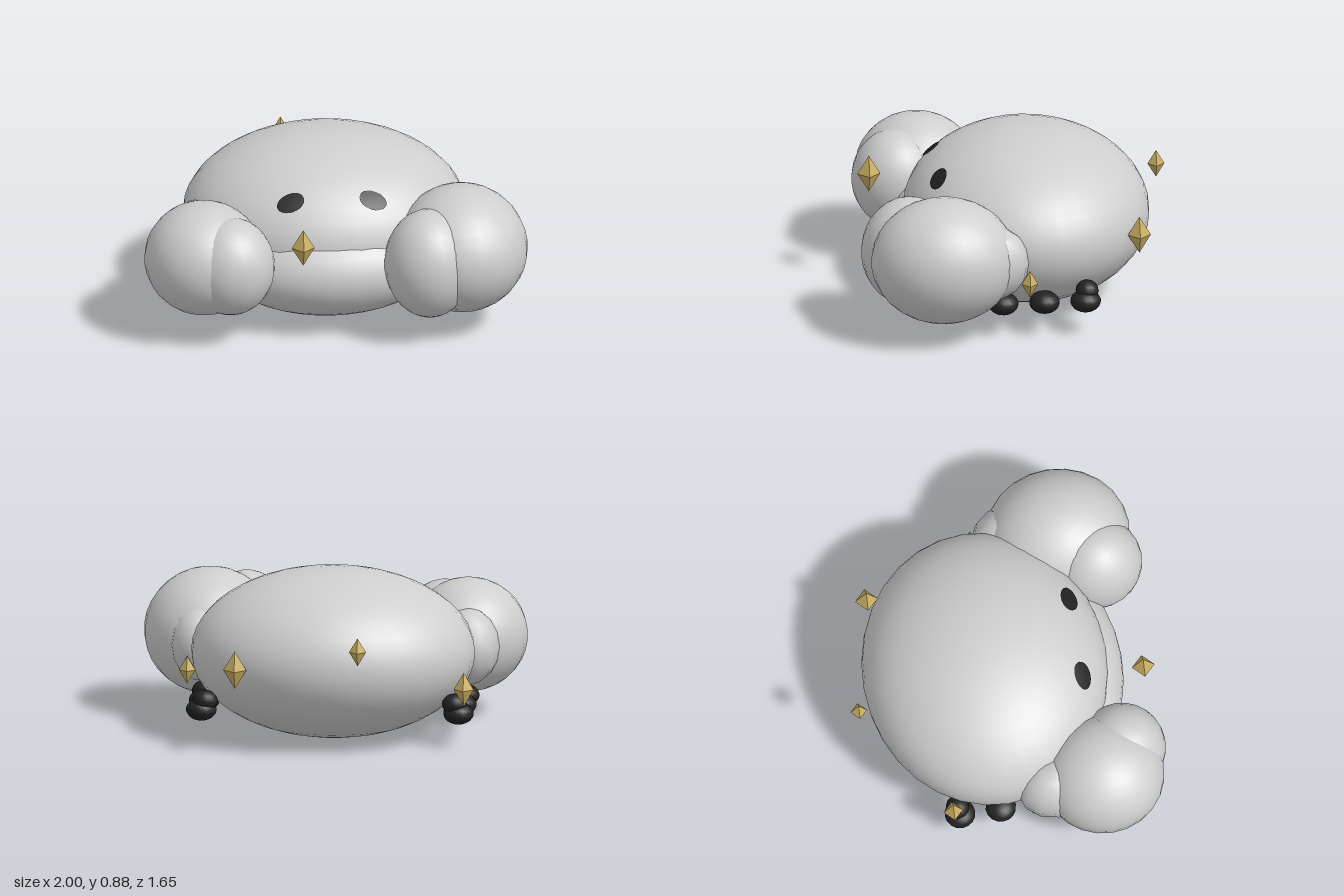
import * as THREE from 'three';

const material = (name, color) => Object.assign(new THREE.MeshStandardMaterial({ color }), { name });

export function createModel() {
  const model = new THREE.Group();
  model.name = 'roundCreature';
  const grey = material('pale grey', 0xcecece);
  const black = material('black', 0x222222);
  const gold = material('gold', 0xc9af62);
  const goldFaceted = gold;
  goldFaceted.flatShading = true;

  const add = (parent, name, geometry, mat) => {
    const mesh = new THREE.Mesh(geometry, mat);
    mesh.name = name;
    parent.add(mesh);
    return mesh;
  };

  const ellipsoid = (parent, name, mat, [x, y, z], [rx, ry, rz], segments = 24) => {
    const geometry = new THREE.SphereGeometry(1, segments, Math.round(segments * 0.7));
    geometry.scale(rx, ry, rz);
    add(parent, name, geometry, mat).position.set(x, y, z);
  };

  // Body and the belly that bulges from its lower front
  const centre = [-0.02, 0.44, -0.09];
  const radii = [0.74, 0.44, 0.64];
  ellipsoid(model, 'body', grey, centre, radii, 32);
  ellipsoid(model, 'belly', grey, [-0.02, 0.32, 0.2], [0.6, 0.29, 0.43], 28);

  // Arms: shoulder, large fist and inner knuckle, the left being larger
  const arms = [
    ['leftArm', [0.69, 0.42, 0.16], [0.655, 0.43, 0.405], [0.345, 0.33, 0.38],
      [0.475, 0.42, 0.57], [0.235, 0.29, 0.25]],
    ['rightArm', [-0.71, 0.42, 0.16], [-0.69, 0.425, 0.42], [0.31, 0.297, 0.32],
      [-0.56, 0.425, 0.54], [0.23, 0.26, 0.23]],
  ];
  for (const [name, shoulder, fist, fistSize, knuckle, knuckleSize] of arms) {
    const arm = new THREE.Group();
    arm.name = name;
    ellipsoid(arm, 'shoulder', grey, shoulder, [0.16, 0.2, 0.2], 12);
    ellipsoid(arm, 'fist', grey, fist, fistSize);
    ellipsoid(arm, 'knuckle', grey, knuckle, knuckleSize);
    model.add(arm);
  }

  for (const side of [1, -1]) {
    const prefix = side > 0 ? 'left' : 'right';

    // Three toes in a row, with a heel above the rear one
    const foot = new THREE.Group();
    foot.name = prefix + 'Foot';
    const footX = -0.02 + side * 0.67;
    for (const z of [0.095, -0.12, -0.335]) {
      ellipsoid(foot, 'toe', black, [footX, 0.175, z], [0.08, 0.058, 0.08], 16);
    }
    ellipsoid(foot, 'heel', black, [footX - side * 0.02, 0.225, -0.345], [0.065, 0.055, 0.06], 14);
    model.add(foot);

    // Slanted oval eye wrapped onto the body surface
    const eye = new THREE.RingGeometry(0, 1, 24, 4);
    eye.scale(0.074, 0.034, 1);
    eye.rotateZ(-side * 0.33);
    eye.translate(-0.02 + side * 0.215, 0.705, 0);
    const p = eye.attributes.position;
    for (let i = 0; i < p.count; i++) {
      const u = (p.getX(i) - centre[0]) / radii[0];
      const v = (p.getY(i) - centre[1]) / radii[1];
      p.setZ(i, centre[2] + radii[2] * Math.sqrt(1 - u * u - v * v) + 0.008);
    }
    eye.computeVertexNormals();
    add(model, prefix + 'Eye', eye, black);
  }

  // Floating gems around the body: position, half width, half height
  const gems = [
    [-0.195, 0.595, 0.715, 0.06, 0.1],
    [-0.195, 0.595, -0.785, 0.044, 0.074],
    [0.455, 0.455, -0.635, 0.06, 0.1],
    [0.745, 0.315, -0.035, 0.043, 0.074],
    [-0.72, 0.31, -0.375, 0.052, 0.09],
  ];
  for (const [x, y, z, width, height] of gems) {
    const gem = new THREE.OctahedronGeometry(1);
    gem.scale(width, height, width);
    add(model, 'gem', gem, goldFaceted).position.set(x, y, z);
  }
  return model;
}
